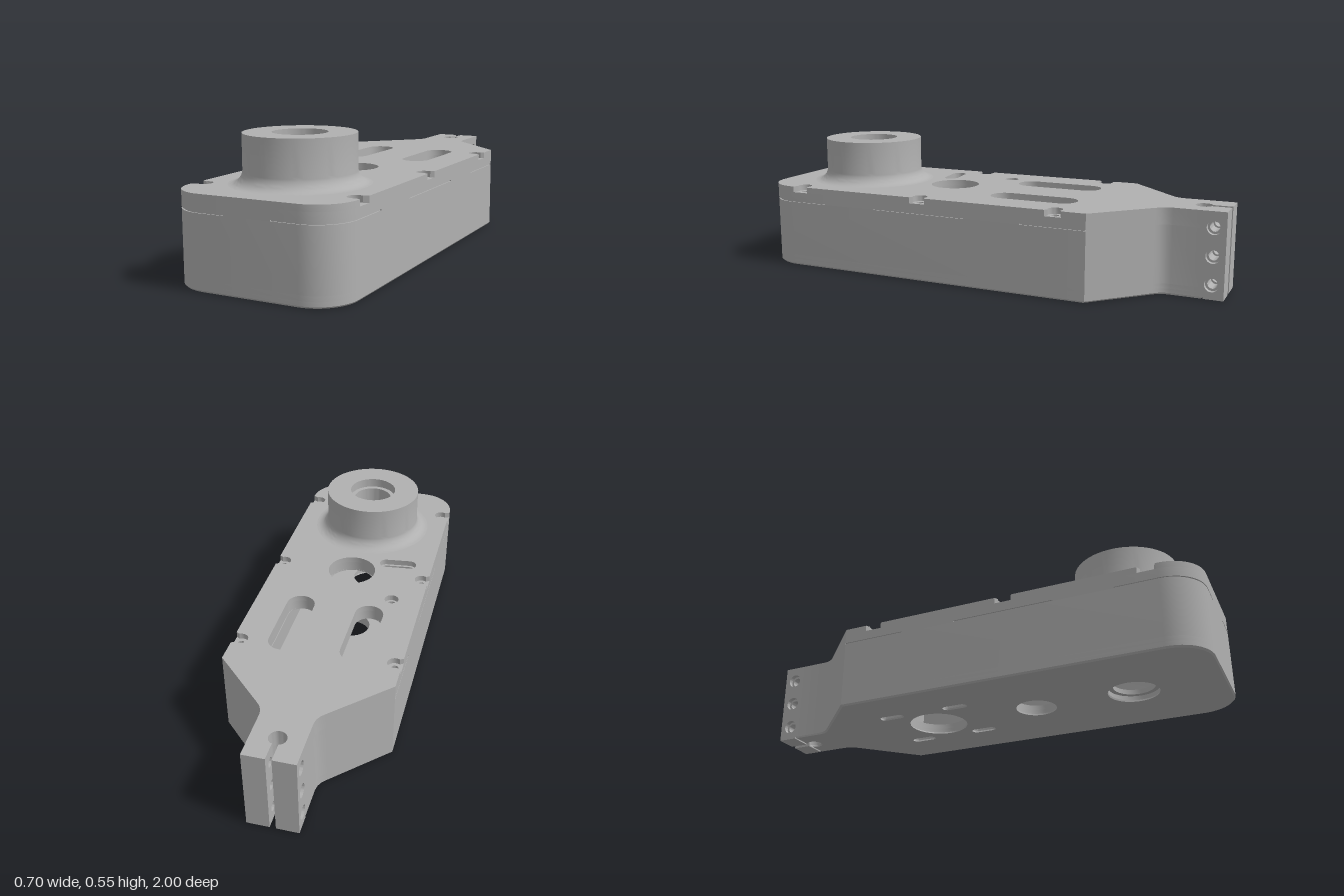
import * as THREE from 'three';
import { toCreasedNormals } from 'three/addons/utils/BufferGeometryUtils.js';

// Plan points are [x, z] pairs
const arc = (cx, cz, r, a0, a1, n = 12) =>
  Array.from({ length: n + 1 }, (_, i) => {
    const a = a0 + (a1 - a0) * i / n;
    return [cx + r * Math.cos(a), cz + r * Math.sin(a)];
  });
const circle = (cx, cz, r) => arc(cx, cz, r, 0, Math.PI * 2, 40).slice(0, -1);
// Rounded slot between two centres
const slot = (x0, z0, x1, z1, r) => {
  const a = Math.atan2(z1 - z0, x1 - x0), h = Math.PI / 2;
  return [...arc(x1, z1, r, a - h, a + h), ...arc(x0, z0, r, a + h, a + 3 * h)];
};
// Completes a +x half outline with its mirror image
const mirrored = half => [
  ...half,
  ...half.filter(p => p[0] > 1e-6).reverse().map(([x, z]) => [-x, z]),
];
const toVectors = pts => pts.map(([x, z]) => new THREE.Vector2(x, -z));

export function createModel() {
  const model = new THREE.Group();
  const metal = new THREE.MeshStandardMaterial({ color: 0xb0b0b0 });
  metal.name = 'grey metal';

  const add = (parent, name, geometry) => {
    const mesh = new THREE.Mesh(toCreasedNormals(geometry, 0.5), metal);
    mesh.name = name;
    parent.add(mesh);
    return mesh;
  };
  const group = name => {
    const g = new THREE.Group();
    g.name = name;
    model.add(g);
    return g;
  };
  // Horizontal slab from y0 to y1; insets draw in its lower or upper rim
  const slab = (parent, name, outline, holes, y0, y1, inset0 = 0, inset1 = 0) => {
    const shape = new THREE.Shape(toVectors(outline));
    shape.holes = holes.map(h => new THREE.Path(toVectors(h)));
    const g = new THREE.ExtrudeGeometry(shape, { depth: y1 - y0, bevelEnabled: false });
    g.rotateX(-Math.PI / 2).translate(0, y0, 0);
    const p = g.attributes.position;
    for (let i = 0; i < p.count; i++) {
      const inset = p.getY(i) < (y0 + y1) / 2 ? inset0 : inset1;
      p.setX(i, p.getX(i) * (1 - inset / 0.35));
      p.setZ(i, 0.24 + (p.getZ(i) - 0.24) * (1 - inset / 0.76));
    }
    return add(parent, name, g);
  };

  const SEAM = 0.286, LID = 0.291, TOP = 0.355, BACK = -0.515;
  const frontCorner = arc(0.2, 0.85, 0.15, Math.PI / 2, 0);
  // Tapered arm ending in the clamp keyhole
  const arm = [
    [0.35, BACK], [0.137, -0.725], [0.118, -0.745], [0.107, -0.766], [0.103, -0.79],
    [0.103, -0.92], ...arc(0, -0.89, 0.035, -1.03, Math.PI / 2),
  ];
  const bodyOutline = mirrored([...frontCorner, ...arm]);

  // Floor with bearing holes, motor opening and adjustment slots
  const base = group('base housing');
  const floorSlots = [];
  for (const x of [-0.15, 0.15])
    for (const z of [-0.39, -0.09]) floorSlots.push(slot(x, z - 0.035, x, z + 0.035, 0.02));
  const openings = [circle(0, -0.24, 0.125), circle(0, 0.22, 0.085), ...floorSlots];
  slab(base, 'floorChamfer', bodyOutline, [...openings, circle(0, 0.64, 0.105)], 0, 0.007, 0.006);
  slab(base, 'floor', bodyOutline, [...openings, circle(0, 0.64, 0.105)], 0.007, 0.025);
  slab(base, 'bearingLip', bodyOutline, [...openings, circle(0, 0.64, 0.085)], 0.025, 0.045);

  // Walls around the cavity
  const cavity = mirrored([...arc(0.18, 0.83, 0.09, Math.PI / 2, 0), [0.27, -0.46]]);
  slab(base, 'walls', bodyOutline, [cavity], 0.045, SEAM);

  // Solid upper arm with back tab, and the other interlocking tabs
  slab(base, 'upperArm', mirrored([[0.12, -0.44], [0.12, BACK], ...arm]), [], SEAM, TOP);
  slab(base, 'frontTab', [[-0.095, 0.92], [0.095, 0.92], [0.095, 1], [-0.095, 1]], [], SEAM, TOP);
  const sideTabs = [[0.43, 0.675], [-0.24, 0]];
  for (const s of [-1, 1])
    for (const [z0, z1] of sideTabs)
      slab(base, 'sideTab', [[s * 0.27, z0], [s * 0.35, z0], [s * 0.35, z1], [s * 0.27, z1]], [], SEAM, TOP);

  // Lid, with open screw recesses in its upper layer
  const lid = group('lid');
  const screws = [[0.315, 0.805], [0.32, 0.22], [0.32, -0.38]];
  const recess = ([x, z]) => [
    [0.35, z + 0.036], ...arc(x, z, 0.031, Math.PI / 3, Math.PI * 5 / 3), [0.35, z - 0.036],
  ];
  const tabCut = ([z0, z1]) => [[0.35, z1], [0.27, z1], [0.27, z0], [0.35, z0]];
  const lidOutline = recessed => {
    const cut = i => (recessed ? recess(screws[i]) : []);
    return mirrored([
      [0.095, 0.92], [0.095, 1], ...frontCorner,
      ...cut(0), ...tabCut(sideTabs[0]),
      ...cut(1), ...tabCut(sideTabs[1]),
      ...cut(2), [0.35, BACK], [0.12, BACK], [0.12, -0.44],
    ]);
  };
  const lidHoles = [
    circle(0, 0.64, 0.1), circle(0, 0.22, 0.105),
    slot(-0.15, -0.35, -0.15, -0.09, 0.06), slot(0.15, -0.35, 0.15, -0.09, 0.06),
  ];
  // Small port and oblong window, each stepped
  const steppedHoles = r => [circle(-0.22, 0.04, r), slot(-0.245, 0.325, -0.14, 0.313, r)];
  const screwHoles = screws.flatMap(([x, z]) => [circle(x, z, 0.015), circle(-x, z, 0.015)]);
  const lowerHoles = [...lidHoles, ...steppedHoles(0.019), ...screwHoles];
  slab(lid, 'seamGroove', lidOutline(false), lowerHoles, SEAM, LID, 0.005, 0.005);
  slab(lid, 'lidLower', lidOutline(false), lowerHoles, LID, 0.33);
  slab(lid, 'lidUpper', lidOutline(true), [...lidHoles, ...steppedHoles(0.03)], 0.33, TOP);

  // Raised collar with a flared foot and stepped bore
  const profile = [
    ...arc(0.27, 0.41, 0.055, -Math.PI / 2, -Math.PI, 10),
    [0.215, 0.545], [0.105, 0.545], [0.105, 0.505], [0.085, 0.505], [0.085, SEAM], [0.1, SEAM],
  ].map(([r, y]) => new THREE.Vector2(r, y));
  add(lid, 'collar', new THREE.LatheGeometry(profile, 64)).position.z = 0.64;

  // Clamp jaws drilled sideways by three counterbored bolt holes
  const clamp = group('clamp');
  const jawLayer = (name, x0, x1, r) => {
    const shape = new THREE.Shape(
      [[-1, 0], [-0.92, 0], [-0.92, TOP], [-1, TOP]].map(p => new THREE.Vector2(...p)));
    shape.holes = [0.06, 0.175, 0.29].map(y =>
      new THREE.Path(circle(-0.951, y, r).map(p => new THREE.Vector2(...p))));
    const g = new THREE.ExtrudeGeometry(shape, { depth: x1 - x0, bevelEnabled: false });
    add(clamp, name, g.rotateY(-Math.PI / 2).translate(x1, 0, 0));
  };
  jawLayer('leftJaw', 0.012, 0.083, 0.02);
  jawLayer('leftJawFace', 0.083, 0.103, 0.029);
  jawLayer('rightJaw', -0.083, -0.012, 0.02);
  jawLayer('rightJawFace', -0.103, -0.083, 0.029);

  return model;
}
